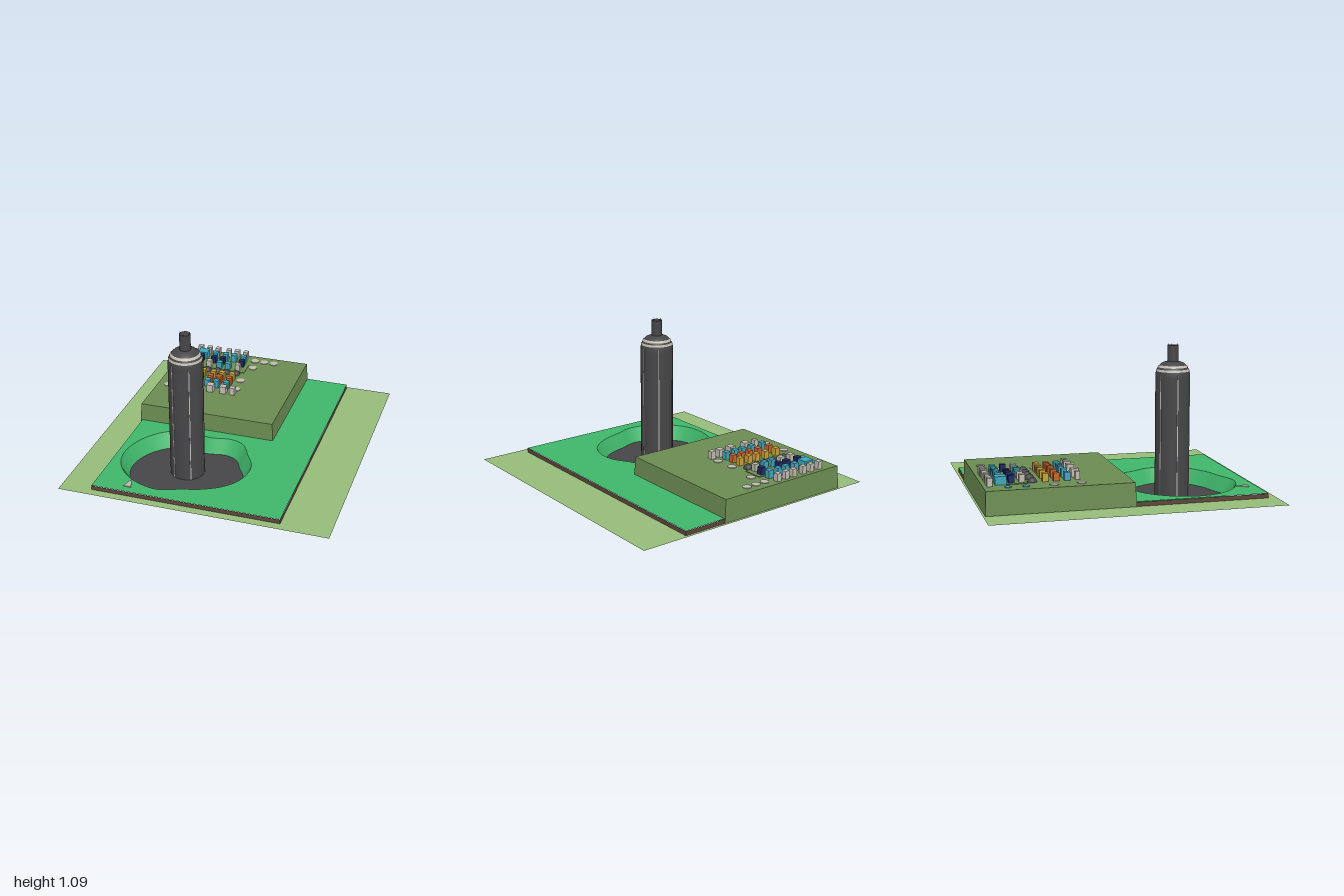
import * as THREE from 'three';

const mat = (name, color, side = THREE.FrontSide) => {
  const m = new THREE.MeshStandardMaterial({ color, side });
  m.name = name;
  return m;
};

export function createModel() {
  const root = new THREE.Group();
  root.name = 'landscapeModel';
  const field = mat('paleGreen', 0x96bc7a, THREE.DoubleSide);
  const grass = mat('grassGreen', 0x3fb56a, THREE.DoubleSide);
  const moss = mat('mossGreen', 0x6b8c52);
  const soil = mat('soilBrown', 0x5c463b, THREE.DoubleSide);
  const charcoal = mat('charcoal', 0x464648, THREE.DoubleSide);
  const cream = mat('cream', 0xc0bcb0);
  const cyan = mat('cyan', 0x3fa6bb);
  const navy = mat('navy', 0x1f2a62);
  const amber = mat('amber', 0xc9a03a);
  const orange = mat('orange', 0xc8652c);

  const add = (name, geo, material, x = 0, y = 0, z = 0, parent = root) => {
    const m = new THREE.Mesh(geo, material);
    m.name = name;
    m.position.set(x, y, z);
    parent.add(m);
    return m;
  };
  const V2 = (x, z) => new THREE.Vector2(x, -z);
  const rect = (x0, x1, z0, z1) => [V2(x0, z0), V2(x0, z1), V2(x1, z1), V2(x1, z0)];
  // Horizontal sheet from an outline in x and z, with an optional hole
  const sheet = (outline, hole) => {
    const s = new THREE.Shape(outline);
    if (hole) s.holes.push(new THREE.Path(hole));
    return new THREE.ShapeGeometry(s).rotateX(-Math.PI / 2);
  };

  const BASE = 0.073, TURF = 0.106, DECK = 0.237;
  const lawn = rect(-0.72, 0.6, -0.98, 0.94);

  // Surrounding field, open under the lawn
  add('field', sheet(rect(-0.94, 0.94, -1, 1), lawn), field, 0, BASE, 0);

  // Basin rim and floor outlines
  const rimCurve = new THREE.CatmullRomCurve3([
    [-0.67, 0.5], [-0.66, 0.38], [-0.6, 0.24], [-0.48, 0.12], [-0.33, 0.07], [-0.16, 0.105],
    [0, 0.085], [0.1, 0.13], [0.17, 0.25], [0.23, 0.36], [0.24, 0.47], [0.2, 0.6], [0.12, 0.69],
    [0, 0.76], [-0.13, 0.8], [-0.28, 0.85], [-0.42, 0.82], [-0.55, 0.74], [-0.64, 0.62],
  ].map(([x, z]) => new THREE.Vector3(x, 0, z)), true);
  const rim = rimCurve.getPoints(96).slice(0, 96);
  const ring = (t) => rim.map((p) => [
    -0.215 + (p.x + 0.215) * (1 - 0.125 * t), 0.46 + (p.z - 0.46) * (1 - 0.15 * t)]);

  // Lawn surface and its soil edge
  add('lawn', sheet(lawn, ring(0).map(([x, z]) => V2(x, z))), grass, 0, TURF, 0);
  const edge = new THREE.Group();
  edge.name = 'soilEdge';
  root.add(edge);
  const h = TURF - BASE - 0.002, midY = BASE + h / 2;
  for (const z of [-0.98, 0.94]) {
    add('soilWall', new THREE.PlaneGeometry(1.32, h).rotateY(z < 0 ? Math.PI : 0), soil, -0.06, midY, z, edge);
  }
  for (const x of [-0.72, 0.6]) {
    add('soilWall', new THREE.PlaneGeometry(1.92, h).rotateY(Math.sign(x) * Math.PI / 2), soil, x, midY, -0.02, edge);
  }

  // Sloping basin wall
  const levels = 4, pos = [], idx = [], n = rim.length;
  for (let j = 0; j <= levels; j++) {
    const t = j / levels;
    for (const [x, z] of ring(t)) pos.push(x, TURF * (1 - t), z);
  }
  for (let j = 0; j < levels; j++) {
    for (let i = 0; i < n; i++) {
      const a = j * n + i, b = j * n + (i + 1) % n;
      idx.push(a, a + n, b, b, a + n, b + n);
    }
  }
  const wall = new THREE.BufferGeometry();
  wall.setAttribute('position', new THREE.Float32BufferAttribute(pos, 3));
  wall.setIndex(idx);
  wall.computeVertexNormals();
  add('basinWall', wall, grass);
  add('basinFloor', sheet(ring(1).map(([x, z]) => V2(x, z))), charcoal, 0, 0.001, 0);

  // Raised platform with slightly tapered sides on a soil footing
  const block = new THREE.BoxGeometry(1.02, DECK - 0.076, 1);
  const bp = block.attributes.position;
  for (let i = 0; i < bp.count; i++) {
    if (bp.getY(i) > 0) bp.setXYZ(i, bp.getX(i) * 0.98, bp.getY(i), bp.getZ(i) * 0.985);
  }
  block.computeVertexNormals();
  add('platform', block, moss, -0.225, (DECK + 0.076) / 2, -0.487);
  add('platformFooting', new THREE.BoxGeometry(1, 0.03, 0.98), soil, -0.22, 0.086, -0.49);
  add('platformPlot', new THREE.BoxGeometry(0.43, 0.005, 0.14), moss, -0.365, DECK + 0.0025, -0.75);

  // Small buildings in rows: z, then [x, material, size]
  const xs = [-0.535, -0.435, -0.352, -0.283, -0.205];
  const row = (m) => xs.map((x) => [x, m, 0.04]);
  const rows = [
    [-0.935, [-0.585, -0.51, -0.44, -0.35, -0.283, -0.21].map((x) => [x, cream, 0.037])],
    [-0.858, [[-0.535, cyan, 0.075], ...row(cyan).slice(1)]],
    [-0.785, [[-0.53, navy, 0.04], [-0.427, navy, 0.04], [-0.357, navy, 0.04], [-0.2, navy, 0.04]]],
    [-0.714, [[-0.53, cream, 0.04], [-0.44, cream, 0.04], [-0.355, cyan, 0.04], [-0.288, cyan, 0.04], [-0.208, cream, 0.037]]],
    [-0.558, row(amber)],
    [-0.485, row(orange)],
    [-0.413, row(cyan)],
    [-0.341, [[-0.53, cream, 0.033], [-0.44, cream, 0.05], [-0.305, cream, 0.05], [-0.205, cream, 0.047], [-0.133, cream, 0.04]]],
  ];
  const town = new THREE.Group();
  town.name = 'buildings';
  root.add(town);
  for (const [z, items] of rows) {
    for (const [x, m, s] of items) {
      add('building', new THREE.BoxGeometry(s, 0.056, s), m, x, DECK + 0.028, z, town);
    }
  }
  for (const x of xs) {
    add('dome', new THREE.SphereGeometry(0.032, 20, 10, 0, Math.PI * 2, 0, Math.PI / 2), charcoal, x, DECK, -0.645, town);
  }

  // Flat round markers
  const discs = [
    [-0.125, -0.9, cream], [-0.05, -0.9, cream], [0.028, -0.9, cream], [-0.108, -0.783, cream],
    [-0.136, -0.555, cream], [-0.128, -0.415, cream], [-0.648, -0.52, cream], [-0.64, -0.335, cream],
    [-0.643, -0.823, cyan], [-0.65, -0.705, cyan],
  ];
  for (const [x, z, m] of discs) {
    const r = m === cyan ? 0.024 : 0.031;
    add('disc', new THREE.CylinderGeometry(r, r, 0.005, 24), m, x, DECK + 0.0025, z);
  }

  // Triangular marker on the lawn
  const tri = new THREE.Shape([V2(-0.485, 0.795), V2(-0.513, 0.883), V2(-0.457, 0.883)]);
  add('lawnMarker', new THREE.ExtrudeGeometry(tri, { depth: 0.006, bevelEnabled: false }).rotateX(-Math.PI / 2), cream, 0, TURF, 0);

  // Tower
  const tower = new THREE.Group();
  tower.name = 'tower';
  tower.position.set(-0.22, 0, 0.415);
  root.add(tower);
  const lathe = (pts) => new THREE.LatheGeometry(pts.map(([r, y]) => new THREE.Vector2(r, y)), 48);
  add('towerBody', lathe([[0.12, 0], [0.12, 0.85], [0.118, 0.88], [0.111, 0.905], [0.098, 0.928], [0.078, 0.947], [0.055, 0.957], [0.036, 0.96]]), charcoal, 0, 0, 0, tower);
  add('towerNeck', new THREE.CylinderGeometry(0.038, 0.038, 0.12, 32), charcoal, 0, 1.012, 0, tower);
  add('towerBand', lathe([[0.117, 0.893], [0.112, 0.908]]), cream, 0, 0, 0, tower);
  add('towerBand', lathe([[0.105, 0.92], [0.095, 0.935]]), cream, 0, 0, 0, tower);
  for (let k = 0; k < 6; k++) {
    const a = Math.PI / 6 + k * Math.PI / 3;
    const s = add('towerStripe', new THREE.BoxGeometry(0.006, 0.87, 0.005), cream, Math.sin(a) * 0.12, 0.437, Math.cos(a) * 0.12, tower);
    s.rotation.y = a;
  }
  // Splayed prongs on top of the neck
  for (let k = 0; k < 4; k++) {
    const a = k * Math.PI / 2, pivot = new THREE.Group();
    pivot.name = 'prong';
    pivot.rotation.y = a;
    tower.add(pivot);
    add('prongTip', new THREE.ConeGeometry(0.003, 0.022, 6), charcoal, 0, 1.077, 0.032, pivot).rotation.x = 0.6;
  }
  return root;
}
